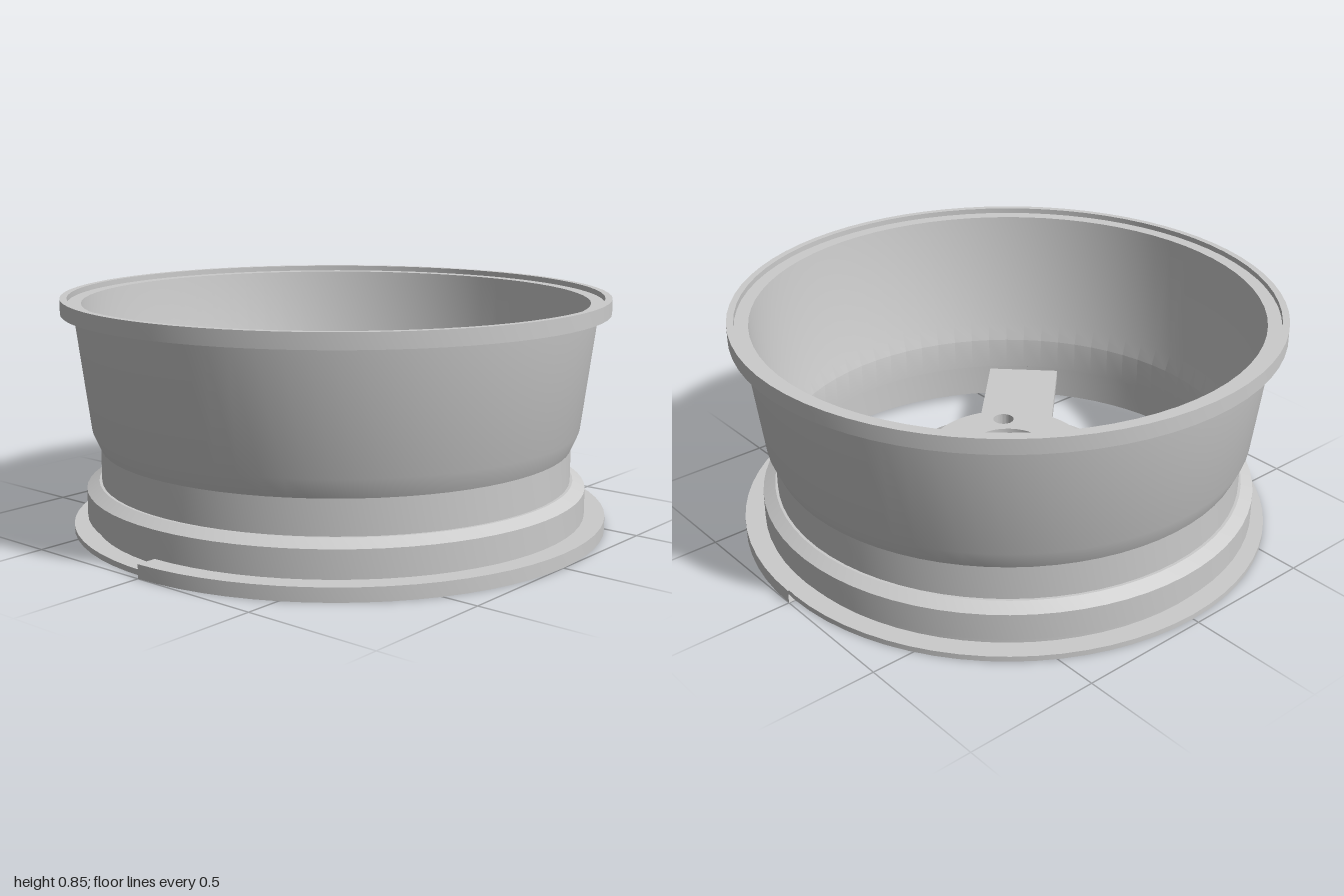
import * as THREE from 'three';
import { toCreasedNormals } from 'three/addons/utils/BufferGeometryUtils.js';

const BOLTS = 5, BOLT_RING = 0.23, BOLT_R = 0.04, POCKET_R = 0.055;

export function createModel() {
  const model = new THREE.Group();
  const solid = new THREE.MeshStandardMaterial({ color: 0xcccccc });
  const open = new THREE.MeshStandardMaterial({ color: 0xcccccc, side: THREE.DoubleSide });

  const add = (name, geometry, material = solid) => {
    const mesh = new THREE.Mesh(geometry, material);
    mesh.name = name;
    model.add(mesh);
    return mesh;
  };
  const lathe = (points, segments, start = 0, length = Math.PI * 2) =>
    new THREE.LatheGeometry(points.map(([r, y]) => new THREE.Vector2(r, y)), segments, start, length);

  // Barrel: up the outside, over the stepped top lip, down the inside to the lower lip
  const barrel = lathe([
    [0.925, 0.05], [0.925, 0.15], [0.88, 0.175], [0.87, 0.175], [0.87, 0.3], [0.9, 0.37],
    [0.953, 0.795], [1, 0.795], [1, 0.85], [0.975, 0.85], [0.975, 0.83], [0.925, 0.83],
    [0.875, 0.37], [0.85, 0.3], [0.85, 0.175], [0.9, 0.15], [0.9, 0.02], [0.975, 0.02], [0.975, 0],
  ], 72);
  add('rimBarrel', toCreasedNormals(barrel, 0.35), open);

  // Lower outer flange, covering only the front half
  const flange = lathe([[0.975, 0], [1, 0], [1, 0.05], [0.925, 0.05]], 36, -Math.PI / 2, Math.PI);
  add('lowerFlange', toCreasedNormals(flange, 0.35), open);

  // Hub body: a bowl open below, with five bolt pockets pushed into its inner wall
  const hub = lathe([
    [0.21, 0.2], [0.215, 0.16], [0.225, 0.11], [0.25, 0.06], [0.285, 0.025], [0.33, 0.005], [0.37, 0],
    [0.41, 0.04], [0.45, 0.1], [0.44, 0.15], [0.38, 0.178], [0.3, 0.2],
  ], 180);
  const pos = hub.attributes.position;
  const step = (Math.PI * 2) / BOLTS;
  for (let i = 0; i < pos.count; i++) {
    const x = pos.getX(i), z = pos.getZ(i), r = Math.hypot(x, z);
    if (r > 0.29) continue;
    const angle = Math.atan2(x, -z);
    const off = angle - Math.round(angle / step) * step;
    const side = BOLT_RING * Math.sin(off);
    if (Math.abs(side) >= POCKET_R) continue;
    const wall = BOLT_RING * Math.cos(off) + Math.sqrt(POCKET_R ** 2 - side ** 2);
    const k = Math.max(r, wall) / r;
    pos.setX(i, x * k);
    pos.setZ(i, z * k);
  }
  add('hubBody', toCreasedNormals(hub, 0.6), open);

  // Mounting plate with centre bore and bolt holes
  const plate = new THREE.Shape().absarc(0, 0, 0.3, 0, Math.PI * 2);
  plate.holes.push(new THREE.Path().absarc(0, 0, 0.15, 0, Math.PI * 2, true));
  for (let i = 0; i < BOLTS; i++) {
    const a = Math.PI / 2 + i * step;
    const cx = BOLT_RING * Math.cos(a), cy = BOLT_RING * Math.sin(a);
    plate.holes.push(new THREE.Path().absarc(cx, cy, BOLT_R, 0, Math.PI * 2, true));
  }
  const plateGeo = new THREE.ExtrudeGeometry(plate, { depth: 0.05, bevelEnabled: false, curveSegments: 32 });
  plateGeo.rotateX(-Math.PI / 2).translate(0, 0.2, 0);
  add('mountingPlate', toCreasedNormals(plateGeo, 0.5));

  // Four flat diagonal spokes
  for (let i = 0; i < 4; i++) {
    const spoke = new THREE.BoxGeometry(0.475, 0.045, 0.29);
    spoke.translate(0.38 + 0.475 / 2, 0.1325, 0);
    add('spoke', spoke).rotation.y = Math.PI / 4 + (i * Math.PI) / 2;
  }

  return model;
}
